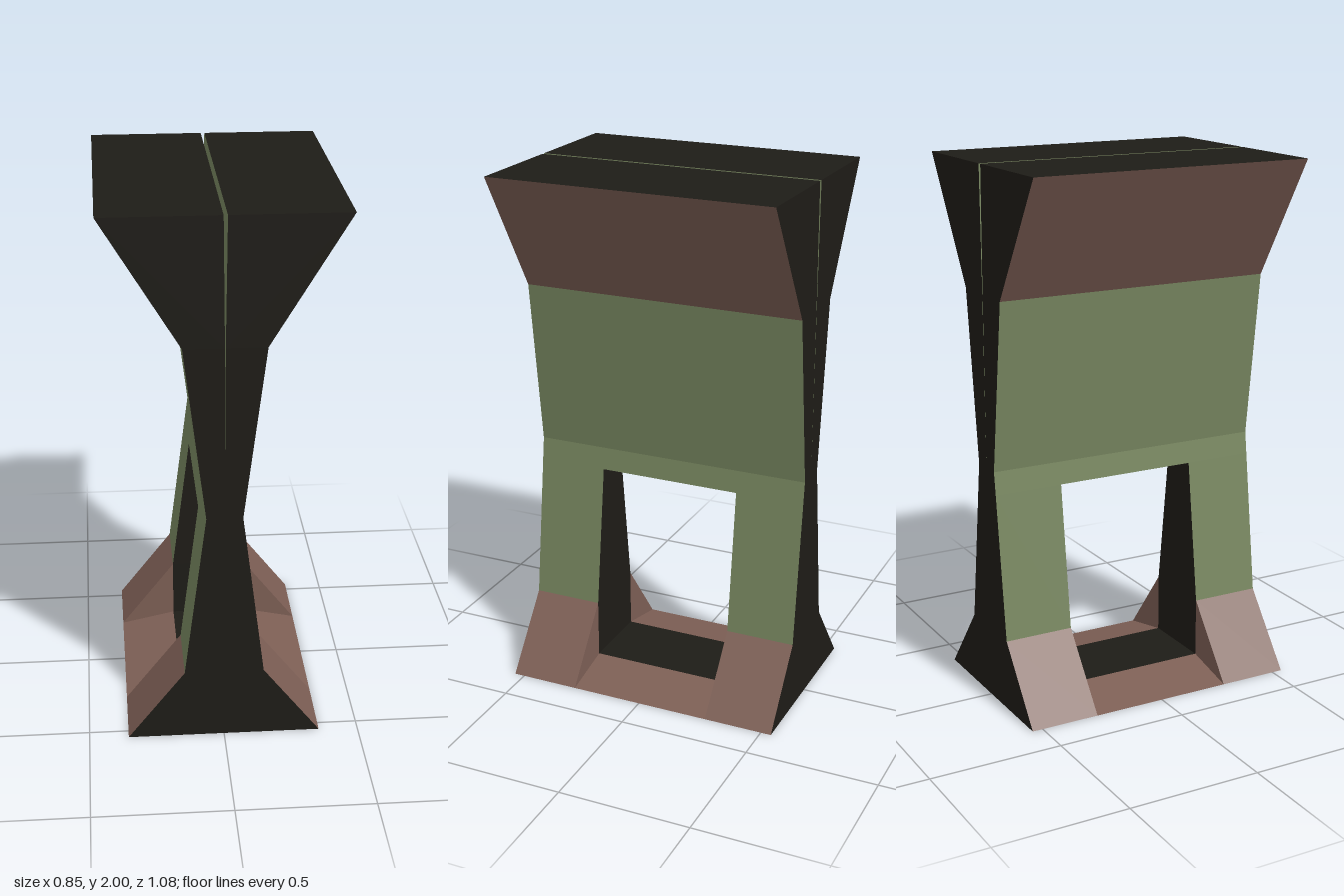
import * as THREE from 'three';

const mats = {};
const paint = { dark: 0x1e1c17, green: 0x788760, brown: 0x7d5f55 };
for (const k in paint) {
  mats[k] = new THREE.MeshStandardMaterial({ flatShading: true });
  mats[k].color.set(paint[k]);
}

// Convex prism along z. profile: counter-clockwise [x, y, colour of the edge to the next point];
// an edge or cap without colour stays open where it meets a neighbour. side = -1 mirrors it in x.
function prism(name, profile, z0, z1, frontCap, backCap, side) {
  const tris = {};
  const tri = (colour, a, b, c) => {
    const order = side > 0 ? [a, b, c] : [a, c, b];
    for (const p of order) (tris[colour] ||= []).push(p[0] * side, p[1], p[2]);
  };
  const at = (i, z) => [profile[i][0], profile[i][1], z];
  const n = profile.length;
  for (let i = 0; i < n; i++) {
    const j = (i + 1) % n, colour = profile[i][2];
    if (colour) {
      tri(colour, at(i, z1), at(i, z0), at(j, z0));
      tri(colour, at(i, z1), at(j, z0), at(j, z1));
    }
    if (i > 0 && i < n - 1) {
      if (frontCap) tri(frontCap, at(0, z1), at(i, z1), at(i + 1, z1));
      if (backCap) tri(backCap, at(0, z0), at(i + 1, z0), at(i, z0));
    }
  }
  const group = new THREE.Group();
  group.name = name;
  for (const colour in tris) {
    const geo = new THREE.BufferGeometry();
    geo.setAttribute('position', new THREE.Float32BufferAttribute(tris[colour], 3));
    geo.computeVertexNormals();
    const mesh = new THREE.Mesh(geo, mats[colour]);
    mesh.name = `${name} ${colour} faces`;
    group.add(mesh);
  }
  return group;
}

export function createModel() {
  const model = new THREE.Group();
  model.name = 'hourglassPedestal';
  const D = 0.54, H = 0.275; // half depth, half width of the opening
  const dark = 'dark', green = 'green', brown = 'brown';

  for (const side of [1, -1]) {
    const half = new THREE.Group();
    half.name = side > 0 ? 'leftHalf' : 'rightHalf';
    const add = (name, profile, z0, z1, front, back) =>
      half.add(prism(name, profile, z0, z1, front, back, side));

    // flared head, with a narrow tapering seam between the halves
    add('head', [[0.0015, 1.54], [0.145, 1.54, brown], [0.425, 2, dark], [0.007, 2, green]], -D, D, dark, dark);
    // upper and lower waist above the opening
    add('upperWaist', [[0, 0.9], [0.065, 0.9, green], [0.145, 1.54], [0.0015, 1.54, green]], -D, D, dark, dark);
    add('lintel', [[0, 0.815, dark], [0.076, 0.815, green], [0.065, 0.9], [0, 0.9]], -D, D, dark, dark);
    // sill that slopes up to a flat floor in the opening
    add('sill', [[0, 0, dark], [0.355, 0, brown], [0.145, 0.045, dark], [0, 0.045]], -H, H);

    // legs and feet on both sides of the opening
    for (const end of [1, -1]) {
      const z0 = end > 0 ? H : -D, z1 = end > 0 ? D : -H;
      const caps = (inner) => (end > 0 ? [dark, inner] : [inner, dark]);
      const label = end > 0 ? 'front' : 'back';
      add(label + 'Leg', [[0, 0.27], [0.145, 0.27, green], [0.076, 0.815], [0, 0.815]], z0, z1, ...caps(dark));
      add(label + 'FootCore', [[0, 0, dark], [0.145, 0], [0.145, 0.27], [0, 0.27]], z0, z1, ...caps(dark));
      add(label + 'FootFlare', [[0.145, 0, dark], [0.355, 0, brown], [0.145, 0.27]], z0, z1, ...caps(brown));
    }
    model.add(half);
  }
  return model;
}
